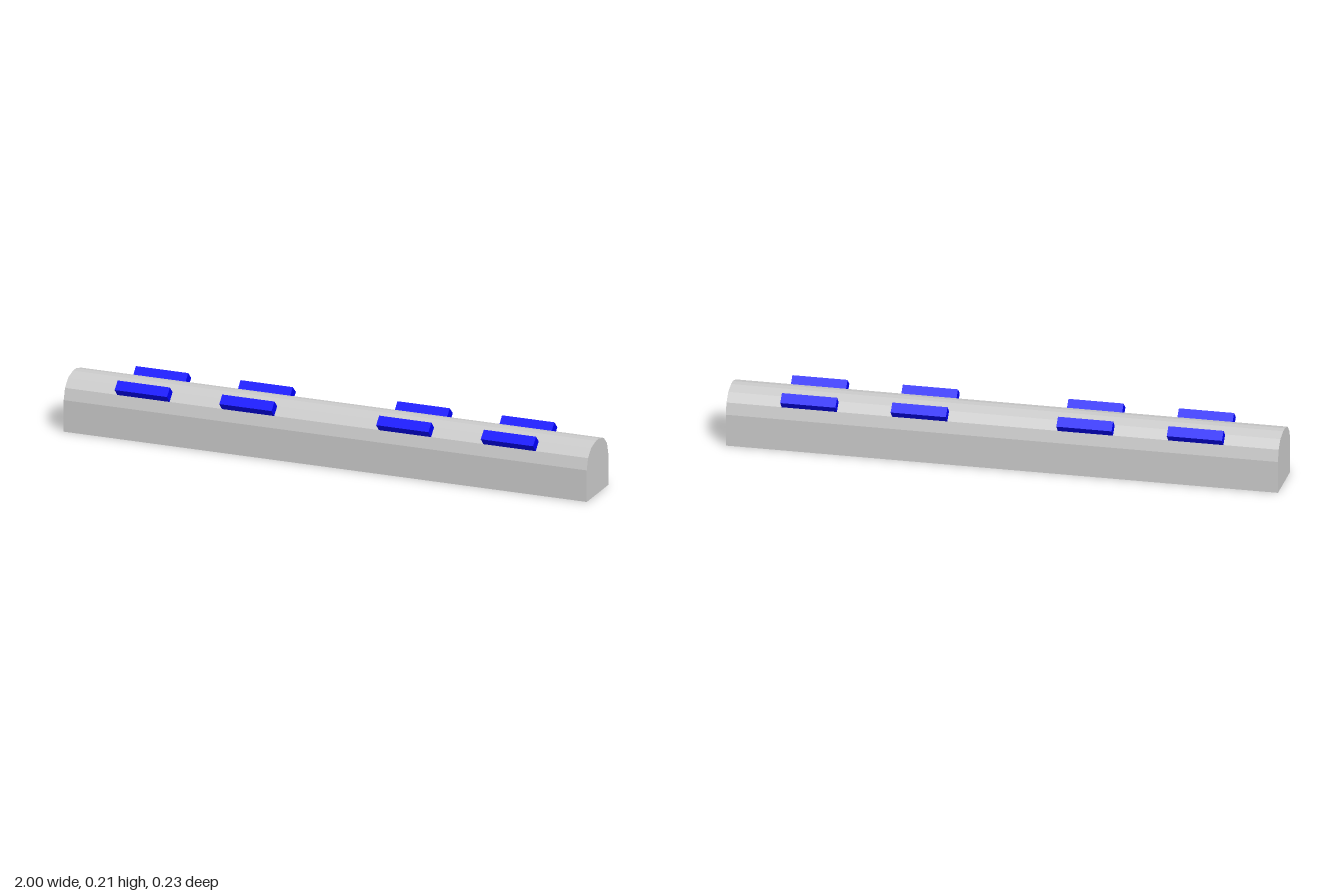
import * as THREE from 'three';

export function createModel() {
  const model = new THREE.Group();
  const grey = new THREE.MeshStandardMaterial({ color: 0xcccccc, flatShading: true });
  const blue = new THREE.MeshStandardMaterial({ color: 0x0000ff, flatShading: true });

  // Long bar: upright sides with a faceted rounded top
  const half = [[0.1, 0], [0.1, 0.118], [0.088, 0.16], [0.059, 0.189], [0.014, 0.201]];
  const mirrored = half.map(([z, y]) => [-z, y]).reverse();
  const profile = new THREE.Shape([...half, ...mirrored].map(([z, y]) => new THREE.Vector2(z, y)));
  const barGeometry = new THREE.ExtrudeGeometry(profile, { depth: 2, bevelEnabled: false });
  barGeometry.translate(0, 0, -1).rotateY(Math.PI / 2);
  const bar = new THREE.Mesh(barGeometry, grey);
  bar.name = 'bar';
  model.add(bar);

  // Tilted light blocks along both shoulders
  const lightGeometry = new THREE.BoxGeometry(0.2, 0.037, 0.039);
  for (const side of [1, -1]) {
    const row = new THREE.Group();
    row.name = side > 0 ? 'frontLights' : 'backLights';
    for (const x of [-0.7, -0.3, 0.3, 0.7]) {
      const light = new THREE.Mesh(lightGeometry, blue);
      light.name = 'light';
      light.position.set(x, 0.186, side * 0.086);
      light.rotation.x = side * 0.757;
      row.add(light);
    }
    model.add(row);
  }
  return model;
}
